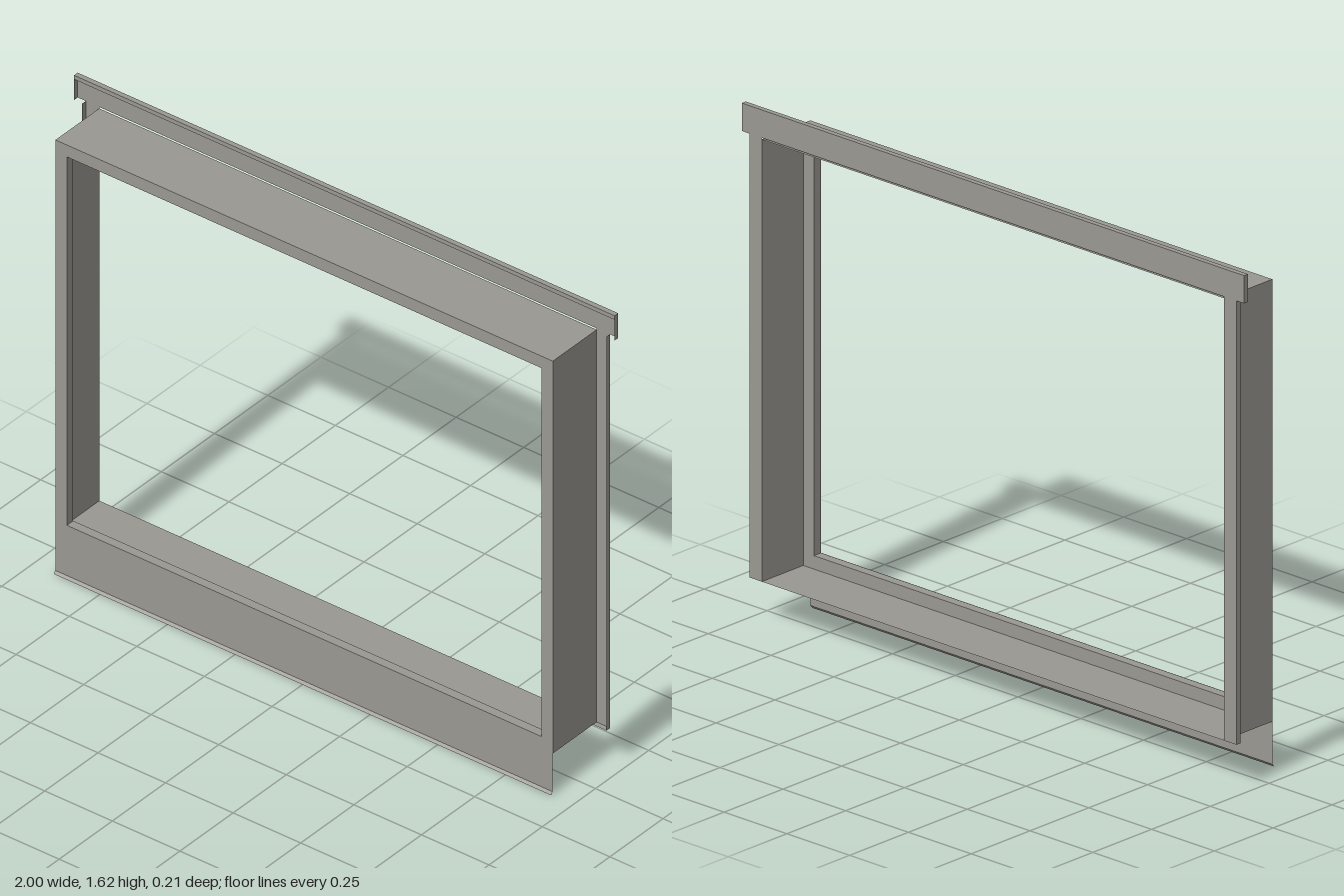
import * as THREE from 'three';

const metal = new THREE.MeshStandardMaterial({ color: 0x9a9892, side: THREE.DoubleSide });
metal.name = 'grey metal';

// Folded sheet: flat quads between successive cross-sections of [x, y, z] points
function foldedSheet(name, sections) {
  const pos = [];
  for (let i = 0; i + 1 < sections.length; i++) {
    const a = sections[i], b = sections[i + 1];
    for (let j = 0; j + 1 < a.length; j++) {
      pos.push(...a[j], ...b[j], ...b[j + 1], ...a[j], ...b[j + 1], ...a[j + 1]);
    }
  }
  const g = new THREE.BufferGeometry();
  g.setAttribute('position', new THREE.Float32BufferAttribute(pos, 3));
  g.computeVertexNormals();
  const mesh = new THREE.Mesh(g, metal);
  mesh.name = name;
  return mesh;
}

// Profile of [y, z] points drawn straight along x
const alongX = (name, x0, x1, profile) =>
  foldedSheet(name, [x0, x1].map(x => profile.map(([y, z]) => [x, y, z])));

// Profile of [x, z] points drawn straight along y
const alongY = (name, y0, y1, profile) =>
  foldedSheet(name, [y0, y1].map(y => profile.map(([x, z]) => [x, y, z])));

export function createModel() {
  const model = new THREE.Group();
  model.name = 'windowFrame';

  const W = 0.92, bottom = 0.143, top = 1.525;
  const front = 0.099, back = -0.107, lip = -0.09;

  // Jambs, head and sill lining with the glazing stop, mitred round the opening
  const profile = [[0, back], [0, front], [0.042, front], [0.042, 0.069], [0, 0.069]];
  const corners = [[-1, 0], [1, 0], [1, 1], [-1, 1], [-1, 0]];
  model.add(foldedSheet('frameLining', corners.map(([sx, sy]) =>
    profile.map(([d, z]) => [sx * (W - d), sy ? top - d : bottom + d, z]))));

  // Back side flanges with a folded outer edge and bottom tab
  for (const [side, s] of [['left', 1], ['right', -1]]) {
    model.add(alongY(side + 'Flange', bottom, 1.53,
      [[s * W, back], [s * 0.97, back], [s * 0.97, lip]]));
    model.add(alongX(side + 'FlangeTab', s * W, s * 0.97,
      [[bottom, back], [bottom, lip]]));
  }

  // Head flange: shallow tray with a hemmed top edge and folded ends
  model.add(alongX('headFlange', -1, 1,
    [[1.53, back], [1.617, back], [1.617, lip], [1.603, lip]]));
  for (const s of [-1, 1]) {
    model.add(alongY('headFlangeEnd', 1.53, 1.617, [[s, back], [s, lip]]));
  }

  // Front apron below the opening with a small outward drip edge
  model.add(alongX('apron', -W, W, [[0.185, 0.1], [0.009, 0.1], [0, 0.107]]));

  return model;
}
